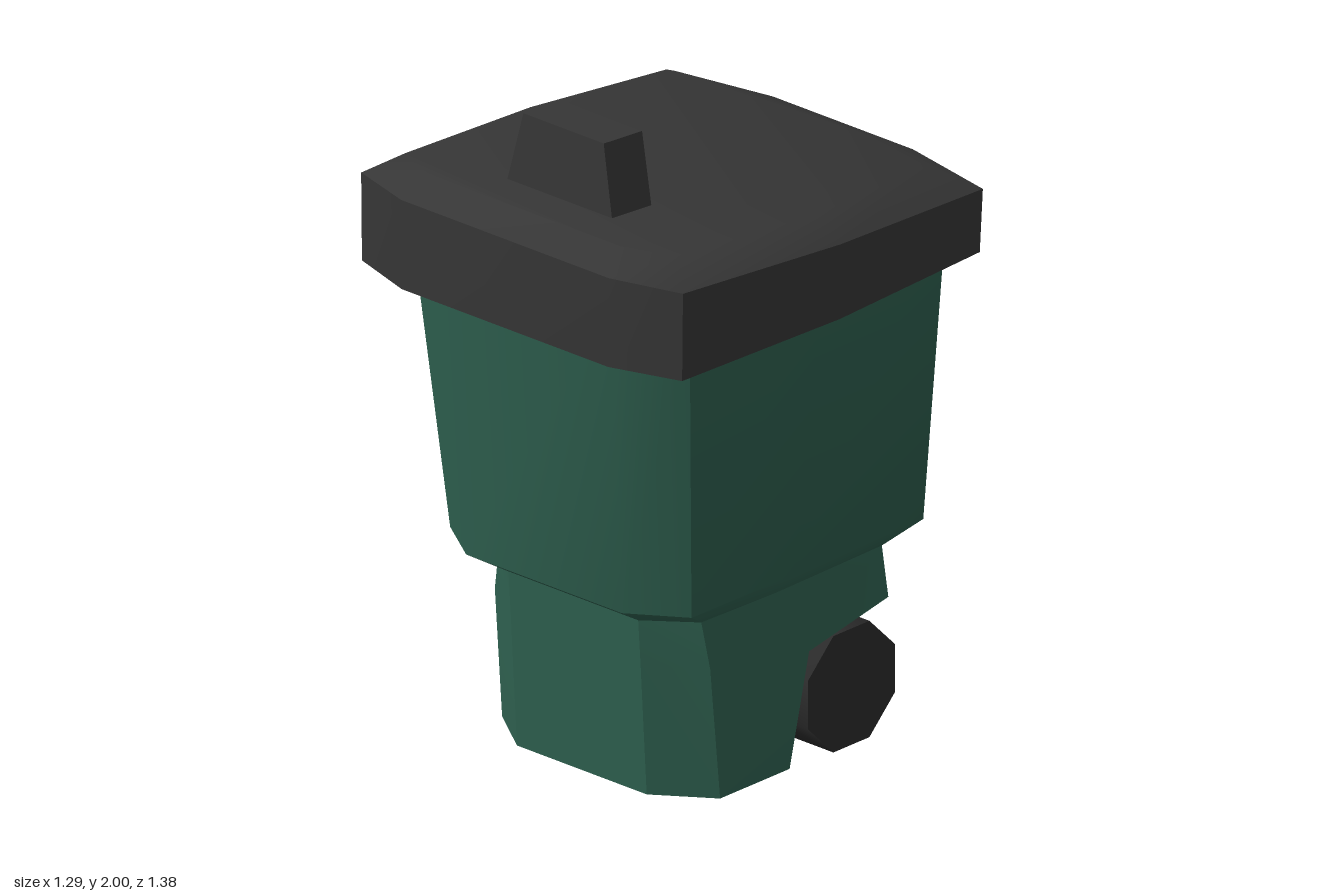
import * as THREE from 'three';
import { toCreasedNormals } from 'three/addons/utils/BufferGeometryUtils.js';

const green = new THREE.MeshStandardMaterial({ color: 0x2f6150 });
const dark = new THREE.MeshStandardMaterial({ color: 0x363636 });
const darkOpen = new THREE.MeshStandardMaterial({ color: 0x363636, side: THREE.DoubleSide });
const rubber = new THREE.MeshStandardMaterial({ color: 0x2b2b2b });

// Skins a stack of rings; flat() maps a point to 2D so the caps can be triangulated.
function loft(rings, flat, capStart = true, capEnd = true) {
  const n = rings[0].length, index = [];
  for (let i = 0; i < rings.length - 1; i++) {
    for (let j = 0; j < n; j++) {
      const a = i * n + j, b = i * n + (j + 1) % n;
      index.push(a, b, b + n, a, b + n, a + n);
    }
  }
  const cap = (ring, offset, flip) => {
    const pts = ring.map((p) => new THREE.Vector2(...flat(p)));
    for (const [a, b, c] of THREE.ShapeUtils.triangulateShape(pts, [])) {
      index.push(offset + a, offset + (flip ? c : b), offset + (flip ? b : c));
    }
  };
  if (capStart) cap(rings[0], 0, true);
  if (capEnd) cap(rings[rings.length - 1], (rings.length - 1) * n, false);
  const g = new THREE.BufferGeometry();
  g.setAttribute('position', new THREE.Float32BufferAttribute(rings.flat(2), 3));
  g.setIndex(index);
  return toCreasedNormals(g, 0.74);
}
const fromTop = ([x, y, z]) => [x, -z];
const fromSide = ([x, y, z]) => [-z, y];

// Symmetric horizontal ring from its +x half, listed front to back as [x, z].
function ring(half, height) {
  const pts = half.map(([x, z]) => [x, height(z), z]);
  return [...pts, ...pts.map(([x, y, z]) => [-x, y, z]).reverse()];
}

export function createModel() {
  const model = new THREE.Group();
  const add = (name, geometry, material) => {
    const m = new THREE.Mesh(geometry, material);
    m.name = name;
    model.add(m);
    return m;
  };

  // Tapered bin with the collar below it, running up inside the lid
  const bin = [
    ring([[0.25, 0.41], [0.39, 0.30], [0.40, 0], [0.39, -0.44], [0.25, -0.51]], () => 0.555),
    ring([[0.30, 0.53], [0.465, 0.42], [0.47, 0], [0.465, -0.53], [0.27, -0.60]], () => 0.63),
    ring([[0.36, 0.635], [0.54, 0.507], [0.574, 0], [0.54, -0.547], [0.27, -0.635]], () => 1.6),
  ];
  add('bin', loft(bin, fromTop), green);

  // Middle of the base, between the wheel wells
  const core = [[0.01, 0.375], [0.01, -0.41], [0.415, -0.51], [0.555, -0.51], [0.555, 0.41], [0.415, 0.40]];
  add('baseCore', loft([-0.25, 0.25].map((x) => core.map(([y, z]) => [x, y, z])), fromSide), green);

  // Sides of the base, cut away at the back for the wheels: [x, y, z]
  const inner = [[0.25, 0.01, 0.375], [0.25, 0.01, -0.03], [0.25, 0.345, -0.11], [0.25, 0.415, -0.51],
    [0.25, 0.555, -0.51], [0.25, 0.555, 0.41], [0.25, 0.415, 0.40]];
  const outer = [[0.42, 0.01, 0.255], [0.42, 0.01, -0.03], [0.42, 0.345, -0.11], [0.415, 0.405, -0.44],
    [0.39, 0.555, -0.44], [0.39, 0.555, 0.30], [0.415, 0.415, 0.29]];
  const mirror = (pts) => pts.map(([x, y, z]) => [-x, y, z]);
  add('leftBaseSide', loft([inner, outer], fromSide), green);
  add('rightBaseSide', loft([mirror(outer), mirror(inner)], fromSide), green);

  // Eight-sided wheels
  for (const s of [1, -1]) {
    const g = new THREE.CylinderGeometry(0.193, 0.193, 0.175, 8, 1, false, Math.PI / 8);
    g.rotateZ(Math.PI / 2);
    const wheel = add(s > 0 ? 'leftWheel' : 'rightWheel', toCreasedNormals(g, 0.8), rubber);
    wheel.position.set(s * 0.329, 0.179, -0.287);
  }

  // Sloping lid, open underneath
  const rim = [[0.40, 0.69], [0.62, 0.62], [0.645, 0], [0.61, -0.62], [0.27, -0.695]];
  const top = [[0.37, 0.61], [0.525, 0.54], [0.55, 0], [0.49, -0.525], [0.15, -0.57]];
  const lid = [
    ring(rim.map(([x, z]) => [x * 0.995, z < 0 ? z * 0.985 : z]), () => 1.465),
    ring(rim, (z) => 1.695 + 0.062 * z),
    ring(top, (z) => 1.757 + 0.072 * z),
  ];
  add('lid', loft(lid, fromTop, false, true), darkOpen);

  // Tapered handle, leaning with the lid
  const handle = [
    ring([[0.205, 0.467], [0.205, 0.305]], (z) => 1.74 + 0.072 * z),
    ring([[0.155, 0.45], [0.155, 0.293]], (z) => 1.968 + 0.072 * z),
  ];
  add('handle', loft(handle, fromTop), dark);

  return model;
}
